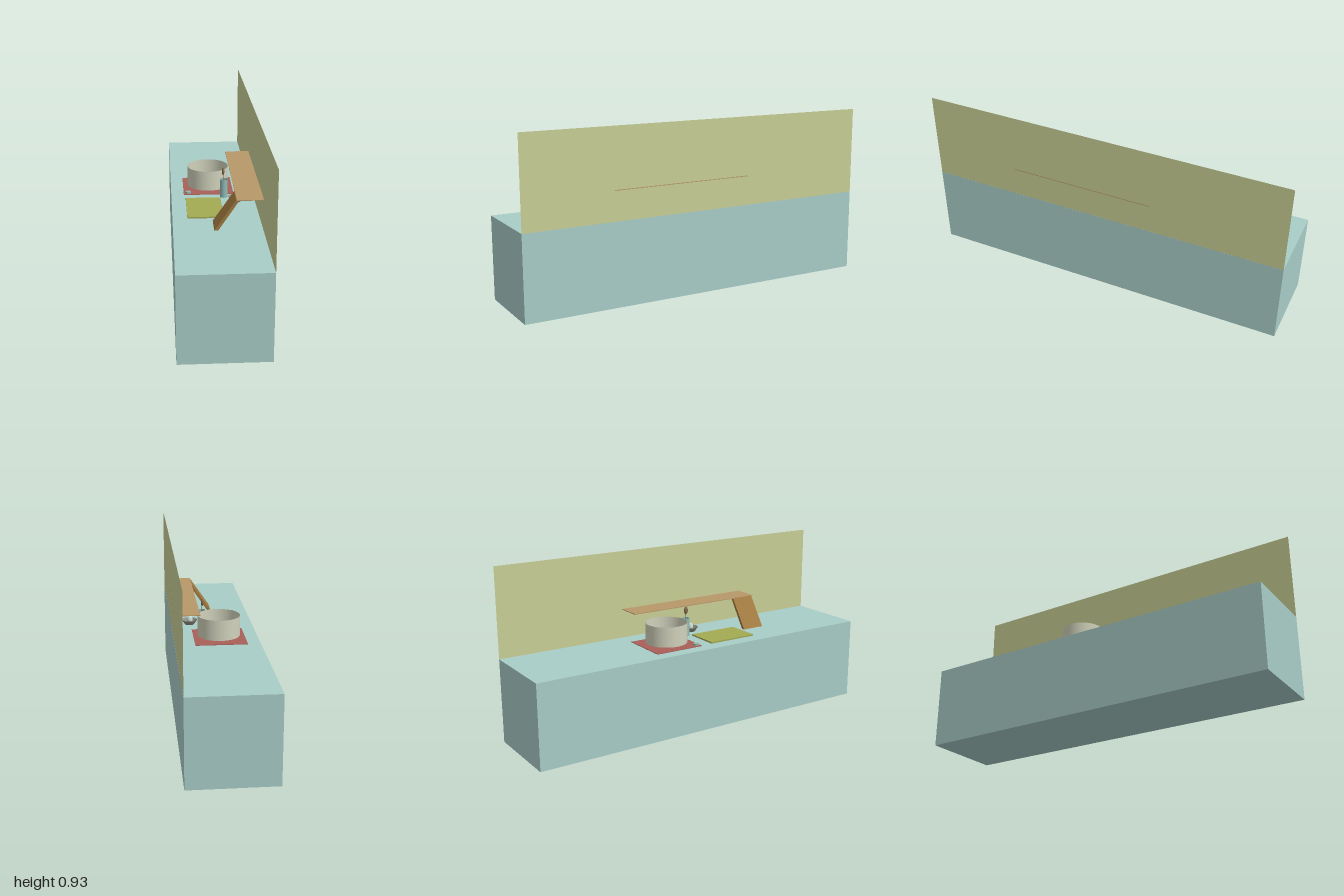
import * as THREE from 'three';

const mat = (color) => new THREE.MeshStandardMaterial({ color, side: THREE.DoubleSide });

export function createModel() {
  const root = new THREE.Group();

  function add(name, geometry, color, x = 0, y = 0, z = 0) {
    const mesh = new THREE.Mesh(geometry, mat(color));
    mesh.name = name;
    mesh.position.set(x, y, z);
    root.add(mesh);
    return mesh;
  }
  // box given by its minimum and maximum corners
  const box = (name, color, a, b) => add(name,
    new THREE.BoxGeometry(b[0] - a[0], b[1] - a[1], b[2] - a[2]), color,
    (a[0] + b[0]) / 2, (a[1] + b[1]) / 2, (a[2] + b[2]) / 2);
  const lathe = (name, color, pts, x, y, z, n = 32) => add(name,
    new THREE.LatheGeometry(pts.map((p) => new THREE.Vector2(...p)), n), color, x, y, z);

  // counter and the thin wall panel behind it
  const top = 0.45;
  box('counter', 0xa9cdc7, [-0.2235, 0, -1], [0.2235, top, 1]);
  const wall = add('wallPanel', new THREE.PlaneGeometry(2, 0.56), 0xc8cf95, 0.2232, 0.65, 0);
  wall.rotation.y = Math.PI / 2;

  // shelf and its slanted support
  box('shelf', 0xb8986a, [0.09, 0.607, -0.28], [0.2235, 0.611, 0.51]);
  const profile = new THREE.Shape([
    [-0.02, 0.45], [0, 0.45], [0.102, 0.603], [0.094, 0.611], [0.087, 0.607],
  ].map((p) => new THREE.Vector2(...p)));
  add('shelfSupport', new THREE.ExtrudeGeometry(profile, { depth: 0.13, bevelEnabled: false }),
    0xa07a40, 0, 0, 0.37);

  // cooking plate with burner and control knob
  box('hobPlate', 0xa85f58, [-0.155, top, -0.29], [0.117, 0.453, -0.012]);
  add('burner', new THREE.CylinderGeometry(0.05, 0.05, 0.011, 32), 0xb9b9a4, -0.017, 0.4585, -0.15);
  add('knob', new THREE.CylinderGeometry(0.015, 0.015, 0.01, 20), 0x8fb5a5, -0.13, 0.458, -0.034);

  // open pot, partly filled
  lathe('pot', 0xd0d1bb, [[0, 0], [0.112, 0], [0.112, 0], [0.112, 0.109]], -0.017, 0.463, -0.15, 40);
  const filling = add('potFilling', new THREE.CircleGeometry(0.111, 40), 0xd8d9c6, -0.017, 0.488, -0.15);
  filling.rotation.x = -Math.PI / 2;

  // cutting board
  box('cuttingBoard', 0xa3aa52, [-0.147, top, 0.055], [0.04, 0.458, 0.335]);

  // cup holding a spoon
  lathe('cup', 0x8fbab5, [[0, 0], [0.021, 0], [0.021, 0], [0.021, 0.1]], 0.061, 0.451, 0.025, 24);
  add('spoonHandle', new THREE.CylinderGeometry(0.002, 0.002, 0.125, 8), 0x7d6a48, 0.058, 0.517, 0.025);
  add('spoonHead', new THREE.SphereGeometry(1, 16, 12), 0x7d6a48, 0.057, 0.595, 0.025)
    .scale.set(0.007, 0.021, 0.012);

  // bowl with an egg
  lathe('bowl', 0x8f8c80, [[0, 0], [0.025, 0], [0.025, 0], [0.043, 0.026]], 0.122, 0.451, 0.097);
  add('egg', new THREE.SphereGeometry(1, 20, 14), 0xc5d8d2, 0.12, 0.475, 0.097)
    .scale.set(0.016, 0.025, 0.016);

  return root;
}
